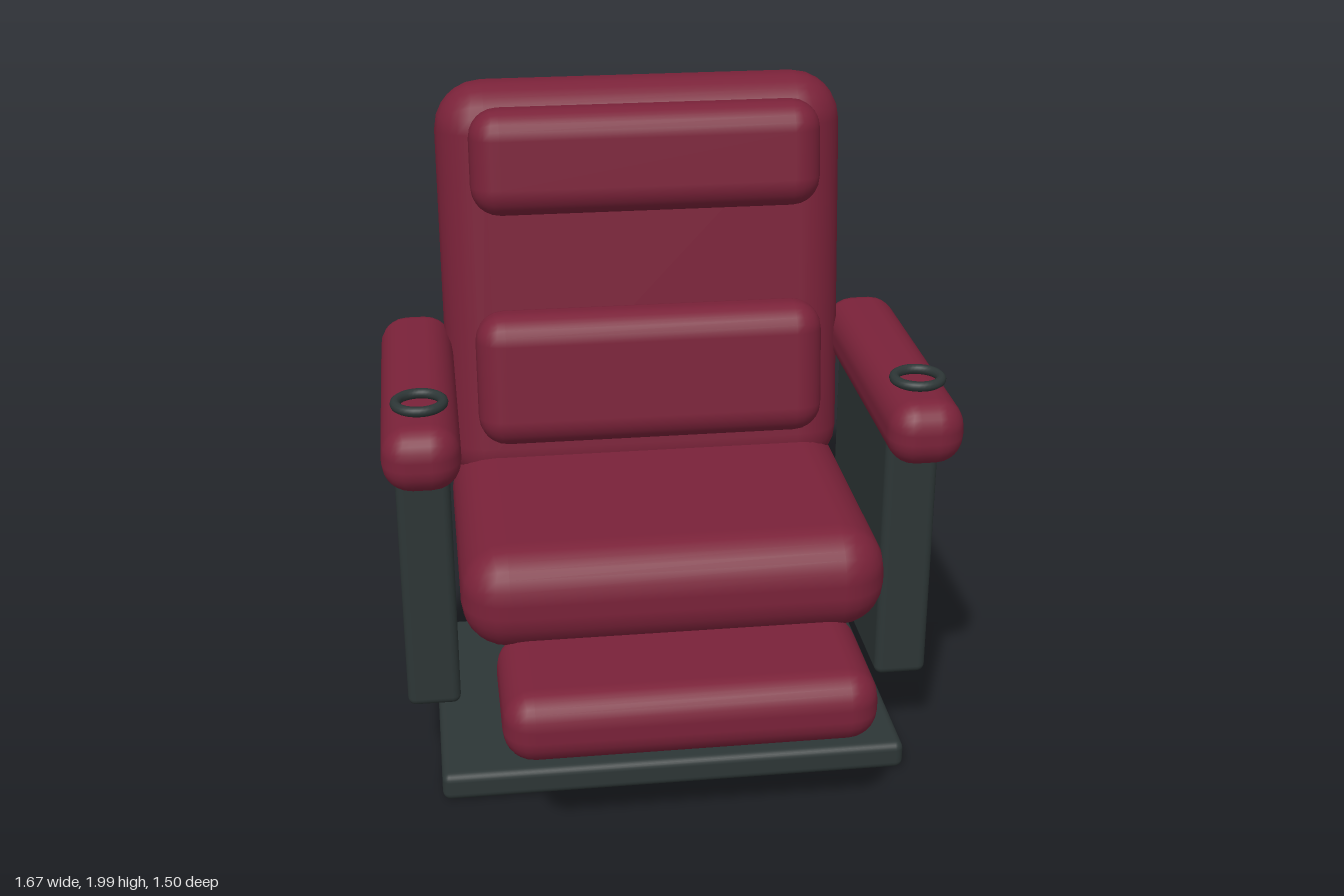
import * as THREE from 'three';
import { RoundedBoxGeometry } from 'three/addons/geometries/RoundedBoxGeometry.js';

export function createModel() {
  const chair = new THREE.Group();
  chair.name = 'reclinerChair';

  const upholstery = new THREE.MeshStandardMaterial({ color: 0x7a2239 });
  upholstery.name = 'burgundyUpholstery';
  const frame = new THREE.MeshStandardMaterial({ color: 0x2d3636 });
  frame.name = 'charcoalFrame';

  const add = (name, geometry, material, x, y, z, tilt = 0) => {
    const mesh = new THREE.Mesh(geometry, material);
    mesh.name = name;
    mesh.position.set(x, y, z);
    mesh.rotation.x = tilt;
    chair.add(mesh);
  };
  const rounded = (w, h, d, r) => new RoundedBoxGeometry(w, h, d, 3, r);
  const recline = -0.12;

  // Floor plate and pedestal
  add('basePlate', rounded(1.43, 0.09, 0.965, 0.025), frame, 0, 0.05, -0.128);
  add('pedestal', new THREE.BoxGeometry(0.51, 0.5, 0.645), frame, 0, 0.33, -0.128);

  // Seat cushion and raised footrest
  add('seatCushion', rounded(1.265, 0.32, 0.98, 0.14), upholstery, 0, 0.68, -0.065);
  add('footrest', rounded(1.075, 0.215, 0.465, 0.09), upholstery, 0, 0.463, 0.518);

  // Reclined back with its two pillows
  add('backrest', rounded(1.27, 1.3, 0.32, 0.15), upholstery, 0, 1.345, -0.528, recline);
  add('headPillow', rounded(1.075, 0.325, 0.2, 0.09), upholstery, 0, 1.79, -0.385, recline);
  add('lumbarPillow', rounded(1.085, 0.42, 0.2, 0.09), upholstery, 0, 1.125, -0.288, recline);

  // Side panels, padded armrests and cup rings, mirrored
  for (const [side, s] of [['left', 1], ['right', -1]]) {
    add(side + 'SidePanel', rounded(0.16, 0.82, 0.7, 0.025), frame, s * 0.725, 0.675, -0.13);
    add(side + 'Armrest', rounded(0.225, 0.197, 1.01, 0.085), upholstery, s * 0.724, 1.153, -0.09);
    add(side + 'CupRing', new THREE.TorusGeometry(0.068, 0.015, 10, 32), frame,
      s * 0.722, 1.275, 0.23, Math.PI / 2);
  }
  return chair;
}
